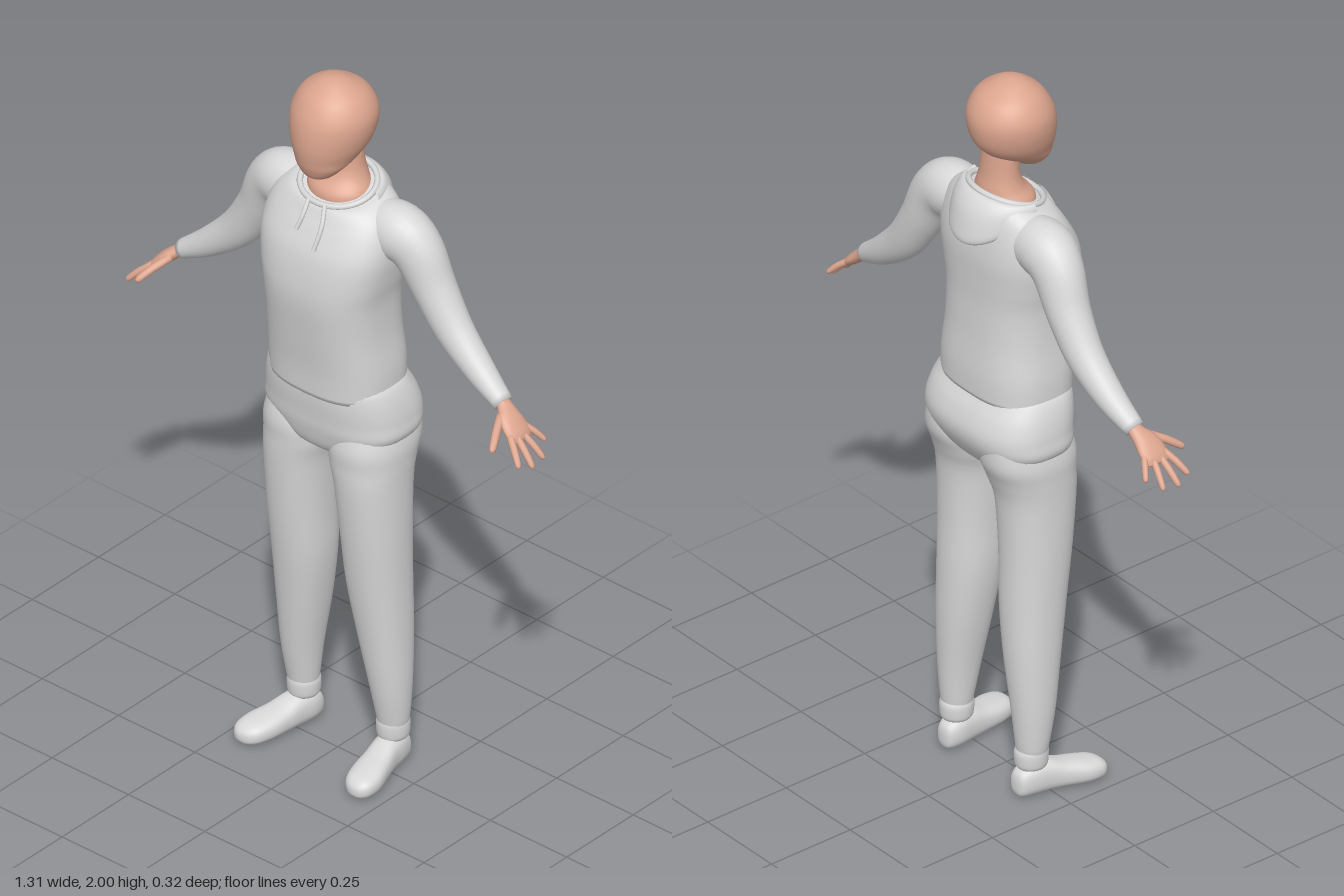
import * as THREE from 'three';

const cloth = new THREE.MeshStandardMaterial({ color: 0xd8d8d8, side: THREE.DoubleSide });
cloth.name = 'pale grey cloth';
const skin = new THREE.MeshStandardMaterial({ color: 0xdca58e });
skin.name = 'skin';

// Catmull-Rom smoothing of rows of numbers, k steps per span
function smooth(rows, k = 5) {
  const out = [];
  const last = rows.length - 1;
  for (let i = 0; i < last; i++) {
    const [p, a, b, q] = [rows[Math.max(i - 1, 0)], rows[i], rows[i + 1], rows[Math.min(i + 2, last)]];
    for (let s = 0; s < k; s++) {
      const t = s / k;
      out.push(a.map((v, c) => v + 0.5 * t * (b[c] - p[c]
        + t * (2 * p[c] - 5 * v + 4 * b[c] - q[c] + t * (3 * (v - b[c]) + q[c] - p[c])))));
    }
  }
  out.push(rows[last]);
  return out;
}

// Superellipse ring around c; u x v is the direction of travel
function ring(c, u, v, a, b, n = 2, sides = 40) {
  const pow = (t) => Math.sign(t) * Math.abs(t) ** (2 / n);
  return Array.from({ length: sides }, (_, j) => {
    const t = (j / sides) * Math.PI * 2;
    return c.clone().addScaledVector(u, a * pow(Math.cos(t))).addScaledVector(v, b * pow(Math.sin(t)));
  });
}

// Skin over rings, with both ends closed when the rings are closed
function loft(rings, closed = true) {
  const m = rings[0].length, pts = rings.flat(), index = [];
  const spans = closed ? m : m - 1;
  for (let i = 0; i < rings.length - 1; i++) {
    for (let j = 0; j < spans; j++) {
      const a = i * m + j, b = i * m + (j + 1) % m;
      index.push(a, b, b + m, a, b + m, a + m);
    }
  }
  if (closed) {
    [0, rings.length - 1].forEach((r, end) => {
      const mid = new THREE.Vector3();
      rings[r].forEach((p) => mid.addScaledVector(p, 1 / m));
      const c = pts.push(mid) - 1;
      for (let j = 0; j < m; j++) {
        const a = r * m + j, b = r * m + (j + 1) % m;
        index.push(c, ...(end ? [a, b] : [b, a]));
      }
    });
  }
  const g = new THREE.BufferGeometry().setFromPoints(pts);
  g.setIndex(index);
  g.computeVertexNormals();
  return g;
}

const X = new THREE.Vector3(1, 0, 0), Z = new THREE.Vector3(0, 0, 1);

// Upright form; rows are [y, half width, z back, z front, roundness, tilt, centre x]
function upright(rows, k) {
  const full = rows.map(([y, w, b, f, n = 2, tilt = 0, x = 0]) => [y, w, b, f, n, tilt, x]);
  return loft(smooth(full, k).map(([y, w, b, f, n, tilt, x]) => {
    const r = ring(new THREE.Vector3(x, y, (b + f) / 2), Z, X, (f - b) / 2, w, n);
    r.forEach((p) => { p.y += tilt * p.z; });
    return r;
  }));
}

// Limb along a path; rows are [x, y, z, thickness radius, z radius]
function limb(rows, sides = 28, k = 5) {
  const s = smooth(rows, k), at = (i) => new THREE.Vector3(...s[i].slice(0, 3));
  return loft(s.map((row, i) => {
    const t = at(Math.min(i + 1, s.length - 1)).sub(at(Math.max(i - 1, 0))).normalize();
    const v = t.clone().cross(Z).normalize();
    return ring(at(i), v.clone().cross(t), v, row[4], row[3], 2, sides);
  }));
}

function mirrored(g) {
  const m = g.clone().scale(-1, 1, 1);
  const a = m.index.array;
  for (let i = 0; i < a.length; i += 3) [a[i], a[i + 1]] = [a[i + 1], a[i]];
  m.computeVertexNormals();
  return m;
}

export function createModel() {
  const model = new THREE.Group();
  const add = (name, geometry, material) => {
    const mesh = new THREE.Mesh(geometry, material);
    mesh.name = name;
    model.add(mesh);
  };
  const pair = (name, geometry, material) => {
    add(name + 'Left', geometry, material);
    add(name + 'Right', mirrored(geometry), material);
  };

  // Head and neck
  add('head', upright([
    [1.735, 0.012, 0.06, 0.085], [1.748, 0.04, 0.03, 0.108], [1.775, 0.066, -0.005, 0.121],
    [1.8, 0.081, -0.055, 0.127], [1.835, 0.098, -0.088, 0.131], [1.88, 0.109, -0.101, 0.128],
    [1.92, 0.107, -0.098, 0.117], [1.96, 0.085, -0.074, 0.092], [1.988, 0.047, -0.03, 0.056],
    [1.997, 0.022, -0.005, 0.035], [2, 0.003, 0.013, 0.019]]), skin);
  add('neck', upright([
    [1.62, 0.085, -0.07, 0.06], [1.675, 0.088, -0.08, 0.062], [1.71, 0.068, -0.078, 0.035],
    [1.75, 0.057, -0.07, 0.022], [1.82, 0.054, -0.064, 0.02]]), skin);

  // Sweater body
  add('sweater', upright([
    [1.127, 0.178, -0.13, 0.125, 2.6, -0.08], [1.2, 0.178, -0.13, 0.131, 2.6, -0.04],
    [1.3, 0.17, -0.123, 0.146, 2.6], [1.4, 0.172, -0.12, 0.159, 2.6],
    [1.47, 0.184, -0.122, 0.157, 2.6], [1.54, 0.193, -0.124, 0.144, 2.6],
    [1.6, 0.188, -0.118, 0.12, 2.5, -0.05], [1.645, 0.168, -0.106, 0.1, 2.4, -0.15],
    [1.672, 0.135, -0.096, 0.088, 2.2, -0.22], [1.681, 0.105, -0.086, 0.08, 2, -0.3]]), cloth);

  // Collar rim
  const rim = ring(new THREE.Vector3(0, 1.683, -0.004), Z, X, 0.084, 0.104);
  rim.forEach((p) => { p.y -= 0.3 * p.z; });
  add('collar', new THREE.TubeGeometry(new THREE.CatmullRomCurve3(rim, true), 60, 0.008, 8, true), cloth);

  // Folded hood on the upper back: rows are [half width, depth, y at sides, drop at middle]
  const hoodRows = smooth([
    [0.102, 0.078, 1.686, -0.022], [0.116, 0.1, 1.696, -0.008], [0.125, 0.125, 1.688, 0.018],
    [0.128, 0.14, 1.676, 0.055], [0.126, 0.144, 1.667, 0.078], [0.118, 0.128, 1.661, 0.08],
    [0.108, 0.1, 1.658, 0.07]], 4);
  add('hood', loft(hoodRows.map(([w, d, y, drop]) => Array.from({ length: 33 }, (_, j) => {
    const a = (j / 32 - 0.5) * Math.PI;
    return new THREE.Vector3(w * Math.sin(a), y - drop * Math.cos(a) ** 1.3, -0.008 - d * Math.cos(a));
  })), false), cloth);

  // Two drawstrings of unequal length
  [[[-0.022, 1.665, 0.083], [-0.018, 1.63, 0.11], [-0.025, 1.593, 0.127]],
    [[0.03, 1.665, 0.083], [0.046, 1.62, 0.114], [0.042, 1.563, 0.14]]].forEach((path) => {
    const curve = new THREE.CatmullRomCurve3(path.map((p) => new THREE.Vector3(...p)));
    add('drawstring', new THREE.TubeGeometry(curve, 12, 0.006, 8), cloth);
  });

  // Sleeves
  pair('sleeve', limb([
    [0.11, 1.597, -0.022, 0.07, 0.066], [0.185, 1.6, -0.024, 0.078, 0.072],
    [0.237, 1.565, -0.03, 0.07, 0.064], [0.285, 1.475, -0.036, 0.058, 0.056],
    [0.35, 1.378, -0.036, 0.051, 0.048], [0.44, 1.298, -0.03, 0.039, 0.039],
    [0.525, 1.243, -0.02, 0.025, 0.027]]), cloth);

  // Hands: palm, then fingers as [base, tip, radius]
  pair('palm', limb([
    [0.5, 1.258, -0.02, 0.016, 0.02], [0.53, 1.238, -0.019, 0.016, 0.022],
    [0.56, 1.214, -0.009, 0.017, 0.036], [0.588, 1.188, -0.006, 0.013, 0.039],
    [0.602, 1.174, -0.006, 0.005, 0.03]], 20), skin);
  const fingers = {
    thumb: [[0.54, 1.224, 0.008], [0.583, 1.174, 0.09], 0.011],
    indexFinger: [[0.582, 1.193, 0.022], [0.643, 1.136, 0.056], 0.0095],
    middleFinger: [[0.585, 1.19, 0.005], [0.655, 1.122, 0.016], 0.0095],
    ringFinger: [[0.585, 1.19, -0.014], [0.65, 1.126, -0.03], 0.009],
    littleFinger: [[0.575, 1.2, -0.031], [0.624, 1.152, -0.066], 0.0085],
  };
  for (const [name, [a, b, r]] of Object.entries(fingers)) {
    const rows = [[0, 1], [0.5, 1], [0.88, 0.85], [0.97, 0.55], [1, 0.1]].map(([t, s]) => [
      ...a.map((v, c) => v + (b[c] - v) * t + (c === 1 ? 0.016 * t * (1 - t) : 0)), r * s, r * s]);
    pair(name, limb(rows, 10, 2), skin);
  }

  // Trousers: hips, legs and ankle cuffs
  add('hips', upright([
    [0.915, 0.04, -0.05, 0.04], [0.945, 0.14, -0.115, 0.09, 2.3], [1, 0.205, -0.152, 0.108, 2.6],
    [1.05, 0.208, -0.164, 0.114, 2.6], [1.1, 0.2, -0.15, 0.119, 2.6],
    [1.14, 0.186, -0.127, 0.119, 2.6], [1.16, 0.17, -0.12, 0.115, 2.6]]), cloth);
  pair('leg', upright([
    [0.12, 0.037, -0.078, -0.002, 2, 0, 0.146], [0.15, 0.043, -0.083, 0.004, 2, 0, 0.147],
    [0.25, 0.053, -0.091, 0.023, 2.1, 0, 0.144], [0.4, 0.067, -0.1, 0.045, 2.2, 0, 0.132],
    [0.55, 0.078, -0.102, 0.067, 2.2, 0, 0.122], [0.7, 0.083, -0.101, 0.086, 2.2, 0, 0.12],
    [0.85, 0.09, -0.108, 0.101, 2.2, 0, 0.115], [0.92, 0.1, -0.126, 0.104, 2.2, 0, 0.107],
    [0.98, 0.1, -0.147, 0.104, 2.2, 0, 0.107], [1.06, 0.08, -0.145, 0.08, 2, 0, 0.11]]), cloth);
  pair('ankleCuff', upright([
    [0.085, 0.036, -0.08, -0.004, 2, 0, 0.146], [0.095, 0.041, -0.085, 0.001, 2, 0, 0.146],
    [0.125, 0.042, -0.086, 0.003, 2, 0, 0.146], [0.14, 0.038, -0.08, 0, 2, 0, 0.147]], 4), cloth);

  // Shoes, toes turned outward: rows are [z, centre x, half width, height, bottom]
  const shoeRows = smooth([
    [-0.091, 0.143, 0.008, 0.05, 0.025], [-0.083, 0.143, 0.026, 0.074, 0.008],
    [-0.05, 0.145, 0.037, 0.093, 0.004], [-0.005, 0.152, 0.039, 0.092, 0.004],
    [0.04, 0.162, 0.043, 0.077, 0.004], [0.09, 0.174, 0.048, 0.067, 0.003],
    [0.13, 0.181, 0.041, 0.058, 0.004], [0.15, 0.184, 0.024, 0.045, 0.01],
    [0.156, 0.185, 0.006, 0.032, 0.02]]);
  const Y = new THREE.Vector3(0, 1, 0);
  pair('shoe', loft(shoeRows.map(([z, x, w, top, low]) => ring(
    new THREE.Vector3(x, (top + low) / 2, z), X, Y, w, (top - low) / 2, 2.5, 28))), cloth);

  return model;
}
